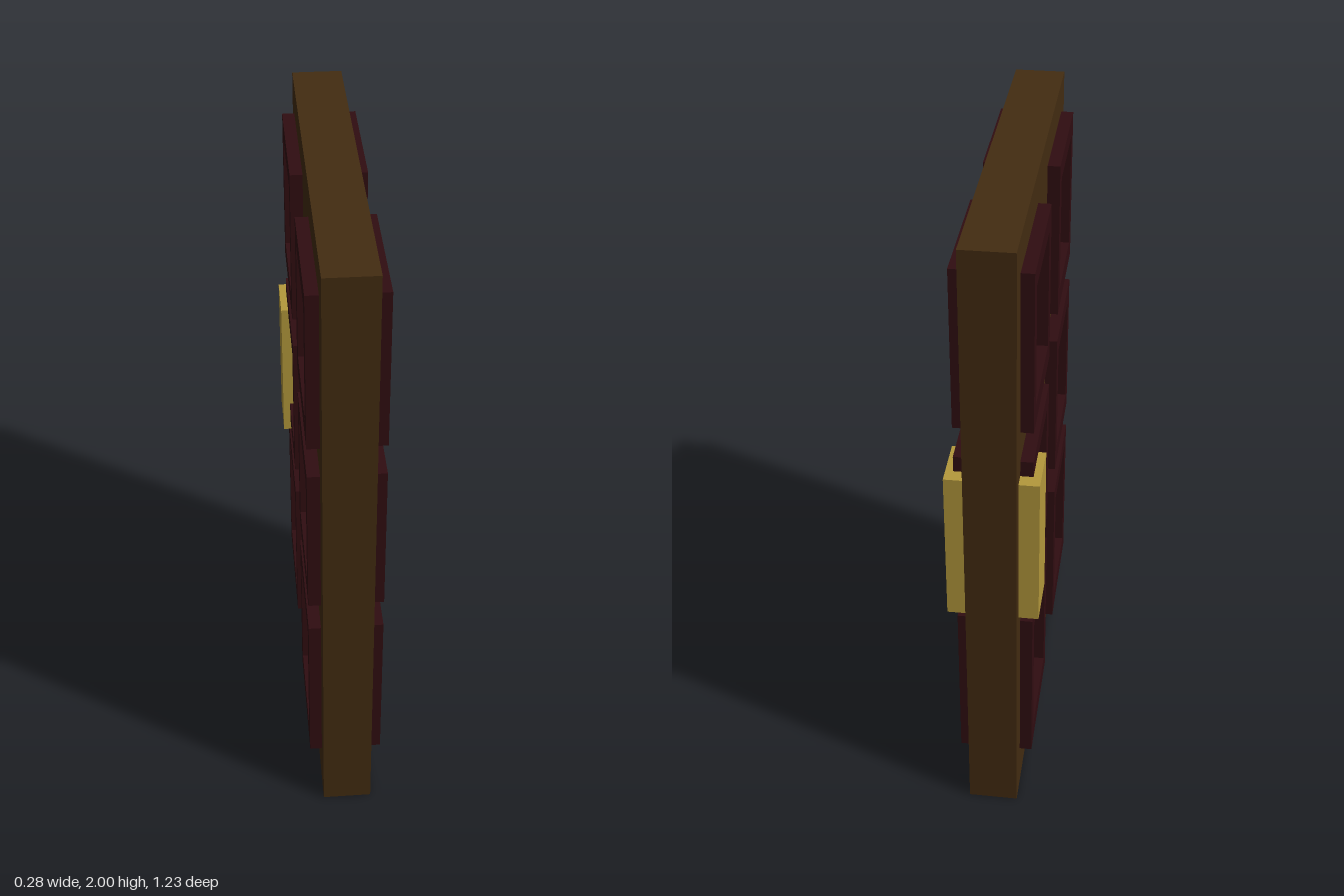
import * as THREE from 'three';

const HALF = 0.077; // half thickness of the slab

export function createModel() {
  const door = new THREE.Group();
  door.name = 'door';

  const wood = new THREE.MeshStandardMaterial({ name: 'brown wood', color: 0x432c11 });
  const trim = new THREE.MeshStandardMaterial({ name: 'dark red trim', color: 0x300d11 });
  const brass = new THREE.MeshStandardMaterial({ name: 'brass', color: 0xb4993c });

  function box(name, material, w, h, d, x, y, z) {
    const mesh = new THREE.Mesh(new THREE.BoxGeometry(w, h, d), material);
    mesh.name = name;
    mesh.position.set(x, y, z);
    door.add(mesh);
  }

  // Rectangular panel moulding with an open centre, extruded through x
  function moulding(side, z0, y0, y1) {
    const z1 = z0 + 0.41;
    const depth = 0.038;
    const shape = new THREE.Shape([[z0, y0], [z1, y0], [z1, y1], [z0, y1]]
      .map(([z, y]) => new THREE.Vector2(-z, y)));
    const a = z0 + 0.05, b = z1 - 0.05, c = y0 + 0.065, d = y1 - 0.06;
    shape.holes.push(new THREE.Path([[a, c], [a, d], [b, d], [b, c]]
      .map(([z, y]) => new THREE.Vector2(-z, y))));
    const geometry = new THREE.ExtrudeGeometry(shape, { depth, bevelEnabled: false });
    geometry.rotateY(Math.PI / 2); // shape x becomes -z, depth becomes +x
    geometry.translate(side > 0 ? HALF : -HALF - depth, 0, 0);
    const mesh = new THREE.Mesh(geometry, trim);
    mesh.name = 'panelMoulding';
    door.add(mesh);
  }

  // Slab
  box('slab', wood, HALF * 2, 2, 1.23, 0, 1, 0);

  // Three rows of two mouldings and one handle on each face
  for (const side of [1, -1]) {
    for (const [y0, y1] of [[0.15, 0.703], [0.8, 1.3], [1.4, 1.9]]) {
      moulding(side, 0.124, y0, y1);
      moulding(side, -0.534, y0, y1);
    }
    box('handle', brass, 0.061, 0.495, 0.166, side * (HALF + 0.0305), 1.0025, -0.494);
  }
  return door;
}
